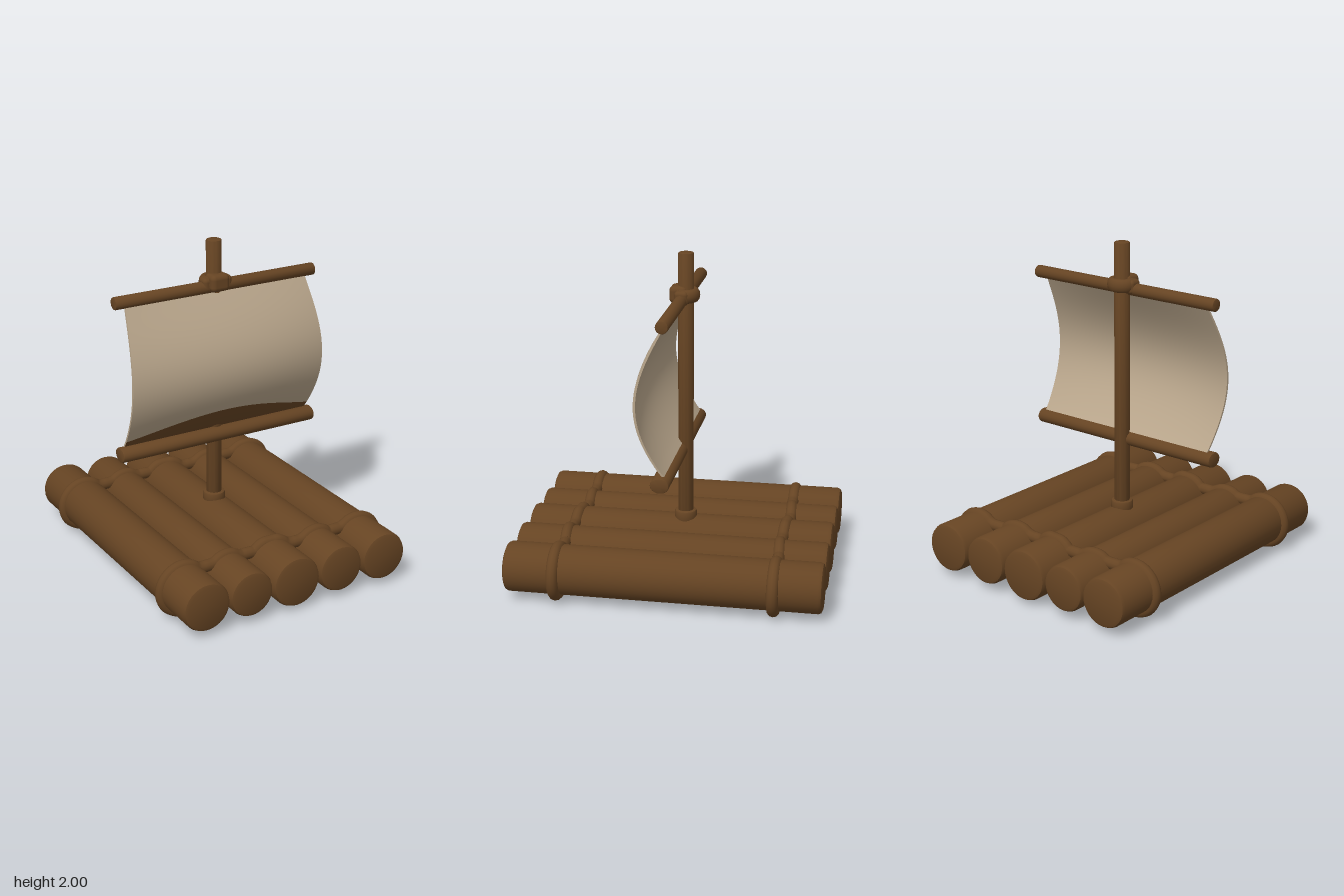
import * as THREE from 'three';
import { toCreasedNormals } from 'three/addons/utils/BufferGeometryUtils.js';
import { RoundedBoxGeometry } from 'three/addons/geometries/RoundedBoxGeometry.js';

export function createModel() {
  const raft = new THREE.Group();
  raft.name = 'raft';

  const material = (name, color, side = THREE.FrontSide) => {
    const m = new THREE.MeshStandardMaterial({ color, side });
    m.name = name;
    return m;
  };
  const wood = material('wood', 0x664423);
  const cloth = material('cloth', 0xb7a48a, THREE.DoubleSide);

  const add = (name, geometry, mat, x = 0, y = 0, z = 0) => {
    const mesh = new THREE.Mesh(geometry, mat);
    mesh.name = name;
    mesh.position.set(x, y, z);
    raft.add(mesh);
    return mesh;
  };

  // Solid pole along y with bevelled ends
  const pole = (radius, length, bevel, sides = 28) => {
    const h = length / 2;
    const profile = [
      [0, -h], [radius - bevel, -h], [radius - bevel * 0.3, -h + bevel * 0.3], [radius, -h + bevel],
      [radius, h - bevel], [radius - bevel * 0.3, h - bevel * 0.3], [radius - bevel, h], [0, h],
    ].map(([x, y]) => new THREE.Vector2(x, y));
    return toCreasedNormals(new THREE.LatheGeometry(profile, sides), 0.6);
  };

  // Deck of five logs: centre x, radius
  const logY = 0.19;
  const logs = [[-0.61, 0.15], [-0.315, 0.14], [-0.01, 0.156], [0.298, 0.146], [0.605, 0.15]];
  logs.forEach(([x, r], i) => {
    add('log' + (i + 1), pole(r, 1.89, 0.025, 32).rotateX(Math.PI / 2), wood, x, Math.min(logY, 0.341 - r), 0);
  });

  // Ropes that follow the log tops and bottoms and close round the outer logs
  const ropeY = 0.181;
  const ropeHeight = (x) => {
    let h = 0.1;
    for (const [cx, r] of logs) {
      const d = (r - 0.008) ** 2 - (x - cx) ** 2;
      if (d > 0) h = Math.max(h, Math.min(0.142, Math.sqrt(d)));
    }
    return h;
  };
  const ropePath = (z) => {
    const points = [];
    const steps = 40;
    const end = 0.608;
    const wobble = (a) => z + 0.008 * Math.sin(a * 9);
    for (const side of [1, -1]) {
      // Straight run across the raft, then the turn round the outer log
      for (let i = 0; i < steps; i++) {
        const x = side * (-end + (2 * end * i) / steps);
        points.push(new THREE.Vector3(x, ropeY + side * ropeHeight(x), wobble(x)));
      }
      for (let i = 0; i < 10; i++) {
        const a = (Math.PI * i) / 10;
        points.push(new THREE.Vector3(side * (end + 0.142 * Math.sin(a)),
          ropeY + side * 0.142 * Math.cos(a), wobble(side * end)));
      }
    }
    return new THREE.CatmullRomCurve3(points, true);
  };
  add('frontRope', new THREE.TubeGeometry(ropePath(0.645), 260, 0.036, 12, true), wood);
  add('backRope', new THREE.TubeGeometry(ropePath(-0.652), 260, 0.036, 12, true), wood);

  // Mast and its collar
  const mastX = -0.005, mastZ = -0.028;
  add('mast', pole(0.047, 1.72, 0.006), wood, mastX, 1.14, mastZ);
  add('mastCollar', pole(0.068, 0.08, 0.012), wood, mastX, 0.342, mastZ);

  // Yard above the sail and boom below it
  add('yard', pole(0.038, 1.36, 0.006, 20).rotateZ(Math.PI / 2), wood, 0, 1.72, -0.008);
  add('boom', pole(0.046, 1.345, 0.008, 20).rotateZ(Math.PI / 2).scale(1, 1, 1.22), wood, 0, 0.78, 0.01);

  // Lashing where the yard crosses the mast
  add('lashingRing', new THREE.TorusGeometry(0.056, 0.028, 12, 28).rotateX(Math.PI / 2).scale(1.1, 1.5, 1),
    wood, mastX, 1.745, mastZ);
  add('lashingBand', new RoundedBoxGeometry(0.195, 0.088, 0.085, 3, 0.025), wood, mastX, 1.738, -0.012);
  add('lashingKnot', new RoundedBoxGeometry(0.125, 0.105, 0.11, 3, 0.03), wood, mastX, 1.75, 0.012);

  // Billowing sail: u runs across from -1 to 1, t runs up from 0 to 1
  const bottom = 0.825, top = 1.705, thickness = 0.014;
  const sailPoint = (u, t, back) => {
    const halfWidth = 0.612 + 0.022 * (1 - t) + 0.028 * Math.sin(Math.PI * t);
    const depth = 0.162 + 0.05 * (1 - u * u);
    const bulge = Math.sin(Math.PI * Math.pow(t, 0.92));
    return [u * halfWidth, bottom + (top - bottom) * t, 0.002 + depth * bulge - (back ? thickness : 0)];
  };
  // Sheet of quads from a function of two parameters in 0..1
  const sheet = (fn, nu, nv) => {
    const positions = [], index = [];
    for (let j = 0; j <= nv; j++) {
      for (let i = 0; i <= nu; i++) positions.push(...fn(i / nu, j / nv));
    }
    for (let j = 0; j < nv; j++) {
      for (let i = 0; i < nu; i++) {
        const a = j * (nu + 1) + i, b = a + 1, c = a + nu + 1, d = c + 1;
        index.push(a, b, d, a, d, c);
      }
    }
    const g = new THREE.BufferGeometry();
    g.setAttribute('position', new THREE.Float32BufferAttribute(positions, 3));
    g.setIndex(index);
    g.computeVertexNormals();
    return g;
  };
  // Curved border between the brown foot and the pale cloth
  const border = (u) => (0.865 + 0.115 * Math.pow(Math.cos((u * Math.PI) / 2), 1.2) - bottom) / (top - bottom);
  const across = (a) => a * 2 - 1;
  add('sailFront', sheet((a, b) => {
    const u = across(a), s = border(u);
    return sailPoint(u, s + (1 - s) * b, false);
  }, 32, 24), cloth);
  add('sailFoot', sheet((a, b) => sailPoint(across(a), border(across(a)) * b, false), 32, 8), wood);
  add('sailBack', sheet((a, b) => sailPoint(-across(a), b, true), 32, 30), cloth);
  for (const side of [-1, 1]) {
    add(side > 0 ? 'sailLeftEdge' : 'sailRightEdge',
      sheet((a, b) => sailPoint(side, b, side > 0 ? a > 0.5 : a < 0.5), 1, 30), cloth);
  }

  return raft;
}
